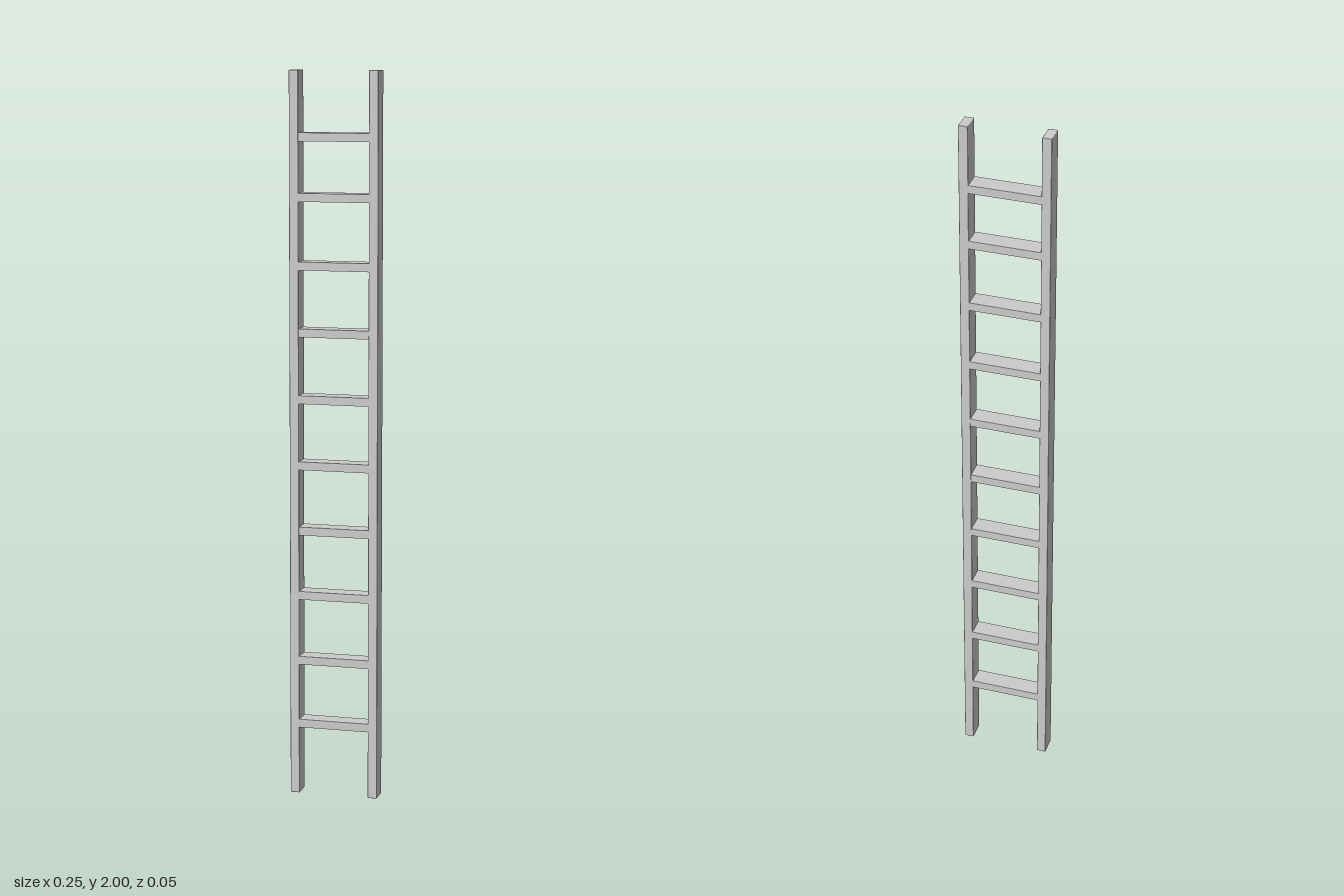
import * as THREE from 'three';
import { RoundedBoxGeometry } from 'three/addons/geometries/RoundedBoxGeometry.js';

const HEIGHT = 2;
const DEPTH = 0.054;
const RAIL_WIDTH = 0.026;
const HALF_WIDTH = 0.124;
const RUNG_HEIGHT = 0.023;
const RUNG_LEVELS = [0.2, 0.38, 0.564, 0.745, 0.927, 1.11, 1.293, 1.475, 1.66, 1.822];

export function createModel() {
  const ladder = new THREE.Group();
  ladder.name = 'ladder';
  const material = new THREE.MeshStandardMaterial({ color: 0xcccccc });

  const add = (name, geometry, x, y) => {
    const mesh = new THREE.Mesh(geometry, material);
    mesh.name = name;
    mesh.position.set(x, y, 0);
    ladder.add(mesh);
  };

  // Two upright rails with slightly eased edges
  const rail = new RoundedBoxGeometry(RAIL_WIDTH, HEIGHT, DEPTH, 2, 0.002);
  const railX = HALF_WIDTH - RAIL_WIDTH / 2;
  add('leftRail', rail, railX, HEIGHT / 2);
  add('rightRail', rail, -railX, HEIGHT / 2);

  // Flat rungs, let slightly into the rails
  const rungLength = 2 * (HALF_WIDTH - RAIL_WIDTH) + 0.004;
  const rung = new THREE.BoxGeometry(rungLength, RUNG_HEIGHT, DEPTH - 0.001);
  RUNG_LEVELS.forEach((y, i) => add(`rung${i + 1}`, rung, 0, y));

  return ladder;
}
